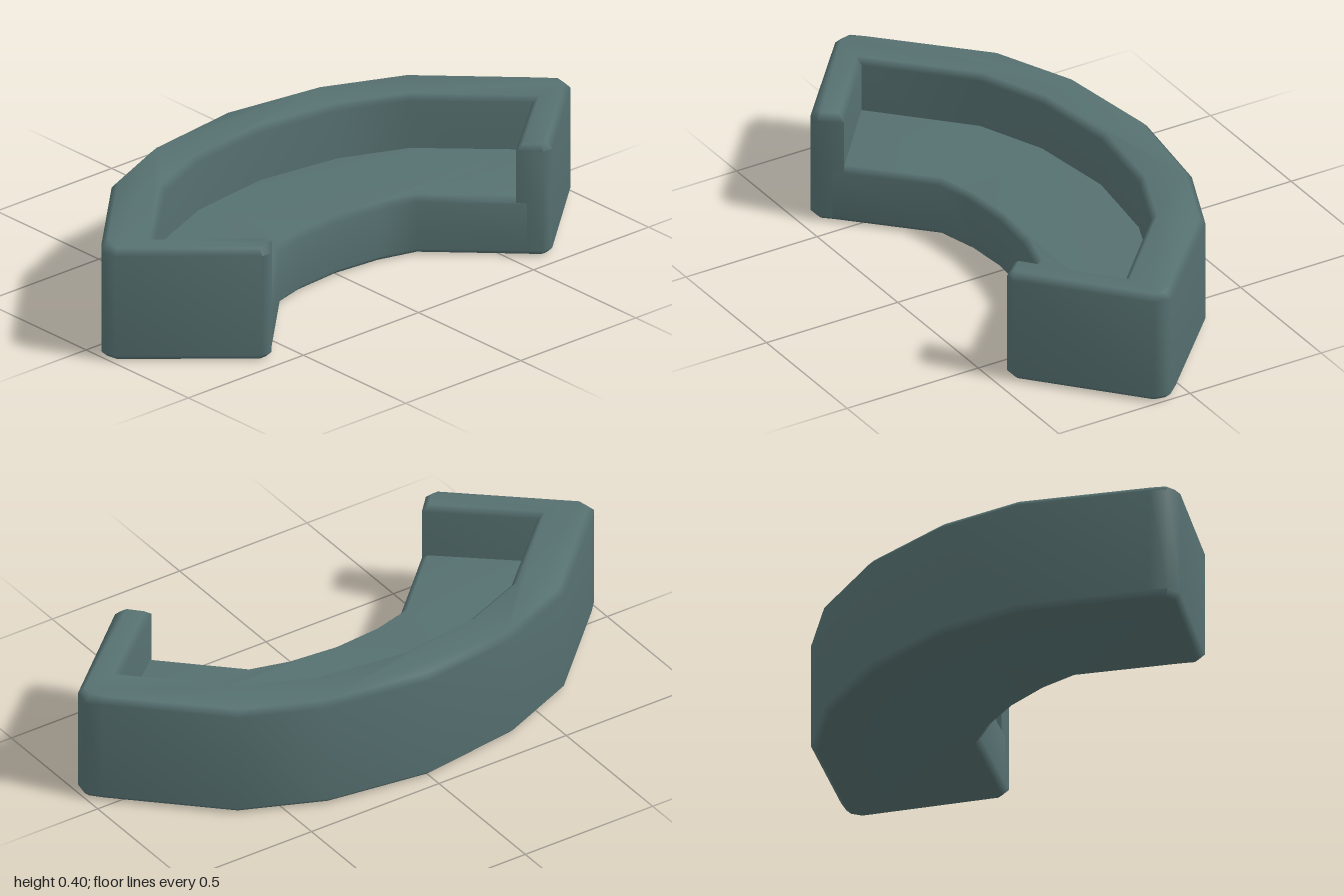
import * as THREE from 'three';

const material = new THREE.MeshStandardMaterial({ color: 0x567070 });

// Area-weighted smooth normals that stay sharp across edges steeper than the limit
function smoothNormals(source, limit) {
  const geo = source.index ? source.toNonIndexed() : source;
  const pos = geo.attributes.position;
  const normals = new Float32Array(pos.count * 3);
  const faces = [], around = new Map();
  const key = (v) => [v.x, v.y, v.z].map((n) => Math.round(n * 1e4)).join();
  for (let i = 0; i < pos.count; i += 3) {
    const p = [0, 1, 2].map((k) => new THREE.Vector3().fromBufferAttribute(pos, i + k));
    const area = p[1].clone().sub(p[0]).cross(p[2].clone().sub(p[0]));
    const face = { area, unit: area.clone().normalize(), keys: p.map(key) };
    faces.push(face);
    for (const k of face.keys) {
      if (!around.has(k)) around.set(k, []);
      around.get(k).push(face);
    }
  }
  faces.forEach((face, f) => face.keys.forEach((k, c) => {
    const n = new THREE.Vector3();
    for (const other of around.get(k)) {
      if (other.unit.dot(face.unit) > Math.cos(limit)) n.add(other.area);
    }
    n.normalize().toArray(normals, (f * 3 + c) * 3);
  }));
  geo.setAttribute('normal', new THREE.BufferAttribute(normals, 3));
  return geo;
}

// Mirrors a half path (starting on z = 0) so it runs from the -z end to the +z end
function mirrorPath(half) {
  return [...half.slice(1).reverse().map(([x, z]) => [x, -z]), ...half];
}

// Solid with chamfered rims, standing on the floor, from an [x, z] outline
function slab(name, outline, height, bevel) {
  const shape = new THREE.Shape(outline.map(([x, z]) => new THREE.Vector2(x, -z)));
  const geo = new THREE.ExtrudeGeometry(shape, {
    depth: height - 2 * bevel, bevelEnabled: true, bevelSegments: 1,
    bevelSize: bevel, bevelThickness: bevel, bevelOffset: -bevel,
  });
  geo.translate(0, 0, bevel);
  geo.rotateX(-Math.PI / 2);
  const mesh = new THREE.Mesh(smoothNormals(geo, 1.0), material);
  mesh.name = name;
  return mesh;
}

export function createModel() {
  const group = new THREE.Group();
  group.name = 'curvedSofa';

  // Half outlines, from the middle of the sofa out to one arm
  const outer = [[-0.45, 0], [-0.4, 0.36], [-0.28, 0.64], [0.03, 0.96], [0.075, 1],
    [0.13, 0.99], [0.445, 0.63], [0.445, 0.59]];
  const inner = [[-0.275, 0], [-0.235, 0.3], [-0.14, 0.53], [0.135, 0.82], [0.38, 0.53]];
  const seatBack = [[-0.36, 0], [-0.32, 0.33], [-0.21, 0.585], [0.11, 0.91], [0.41, 0.558]];
  const seatFront = [[0.11, 0], [0.125, 0.17], [0.16, 0.3]];

  // Backrest wrapping round into both arms
  group.add(slab('backrestAndArms',
    [...mirrorPath(outer), ...mirrorPath(inner).reverse()], 0.395, 0.02));

  // Seat, its rear edge tucked inside the backrest
  group.add(slab('seat',
    [...mirrorPath(seatBack), ...mirrorPath(seatFront).reverse()], 0.207, 0.02));

  return group;
}
